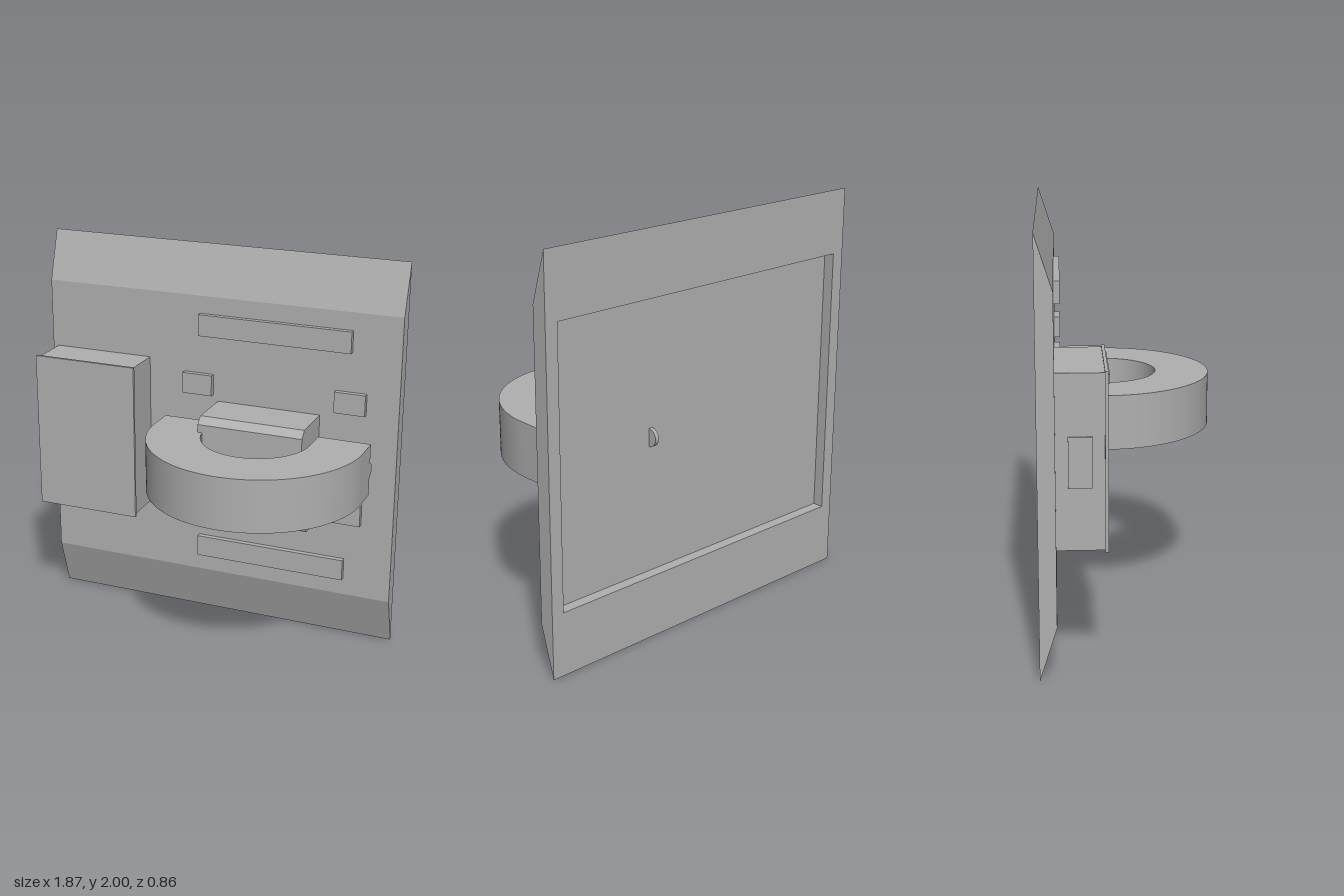
import * as THREE from 'three';

export function createModel() {
  const group = new THREE.Group();
  const grey = new THREE.MeshStandardMaterial({ color: 0xb0b0b0 });
  grey.name = 'plain grey';

  const add = (name, geometry) => {
    const mesh = new THREE.Mesh(geometry, grey);
    mesh.name = name;
    group.add(mesh);
    return mesh;
  };
  // Box given by its limits on each axis
  const box = (name, x0, x1, y0, y1, z0, z1) =>
    add(name, new THREE.BoxGeometry(x1 - x0, y1 - y0, z1 - z0)
      .translate((x0 + x1) / 2, (y0 + y1) / 2, (z0 + z1) / 2));
  // Side profile of [z, y] points extruded between two x positions
  const profile = (name, points, x0, x1) => {
    const shape = new THREE.Shape(points.map(([z, y]) => new THREE.Vector2(z, y)));
    return add(name, new THREE.ExtrudeGeometry(shape, { depth: x1 - x0, bevelEnabled: false })
      .rotateY(-Math.PI / 2).translate(x1, 0, 0));
  };
  // Cylinder lying along x
  const rod = (name, r, x0, x1, y, z) =>
    add(name, new THREE.CylinderGeometry(r, r, x1 - x0, 32)
      .rotateZ(Math.PI / 2).translate((x0 + x1) / 2, y, z));

  // Back plate with sloping top and bottom and a shallow recess behind
  const W = 0.935, R = 0.87, back = -0.43, face = -0.35, floor = -0.375;
  const slope = [[back, 0], [face, 0.255], [face, 1.75], [back, 2]];
  profile('plateRecessed', [...slope, [back, 1.68], [floor, 1.68], [floor, 0.32], [back, 0.32]], -R, R);
  profile('plateEdgeRight', slope, -W, -R);
  profile('plateEdgeLeft', slope, R, W);
  rod('rearStud', 0.045, 0.285, 0.305, 1, floor);

  // Side box with a thin overlapping lid and a small side panel
  box('sideBox', -0.905, -0.38, 0.605, 1.4, face, -0.125);
  box('sideBoxLid', -0.917, -0.37, 0.598, 1.408, -0.135, -0.12);
  box('sideBoxPanel', -0.913, -0.9, 0.89, 1.12, -0.295, -0.19);

  // Central block with chamfered front and stepped lower part
  profile('centreBlock', [
    [face, 0.64], [-0.2, 0.64], [-0.186, 0.646], [-0.18, 0.66], [-0.18, 0.79],
    [-0.12, 0.79], [-0.08, 0.84], [-0.08, 1.175], [-0.115, 1.21], [face, 1.21],
  ], -0.005, 0.535);

  // Horizontal U-shaped handle
  const cx = 0.29, cz = -0.115, outer = 0.54, inner = 0.273, end = -0.247;
  const u = new THREE.Shape();
  u.moveTo(cx + outer, end);
  u.lineTo(cx + outer, cz);
  u.absarc(cx, cz, outer, 0, Math.PI, false);
  u.lineTo(cx - outer, end);
  u.lineTo(cx - inner, end);
  u.lineTo(cx - inner, cz);
  u.absarc(cx, cz, inner, Math.PI, 0, true);
  u.lineTo(cx + inner, end);
  u.closePath();
  add('handle', new THREE.ExtrudeGeometry(u, { depth: 0.265, bevelEnabled: false, curveSegments: 40 })
    .rotateX(Math.PI / 2).translate(0, 1.135, 0));

  // Hinge pin and knuckles
  rod('hingePin', 0.035, cx - outer, cx + outer, 1, -0.247);
  for (const s of [-1, 1]) {
    rod('hingeKnuckle', 0.058, cx + s * 0.405 - 0.052, cx + s * 0.405 + 0.052, 1, -0.25);
  }

  // Raised bars and pads on the plate
  for (const y of [0.4, 1.605]) box('raisedBar', -0.105, 0.69, y - 0.055, y + 0.055, face, -0.322);
  for (const y of [0.71, 1.295]) {
    for (const x of [-0.11, 0.692]) box('raisedPad', x - 0.079, x + 0.079, y - 0.054, y + 0.054, face, -0.322);
  }

  return group;
}
